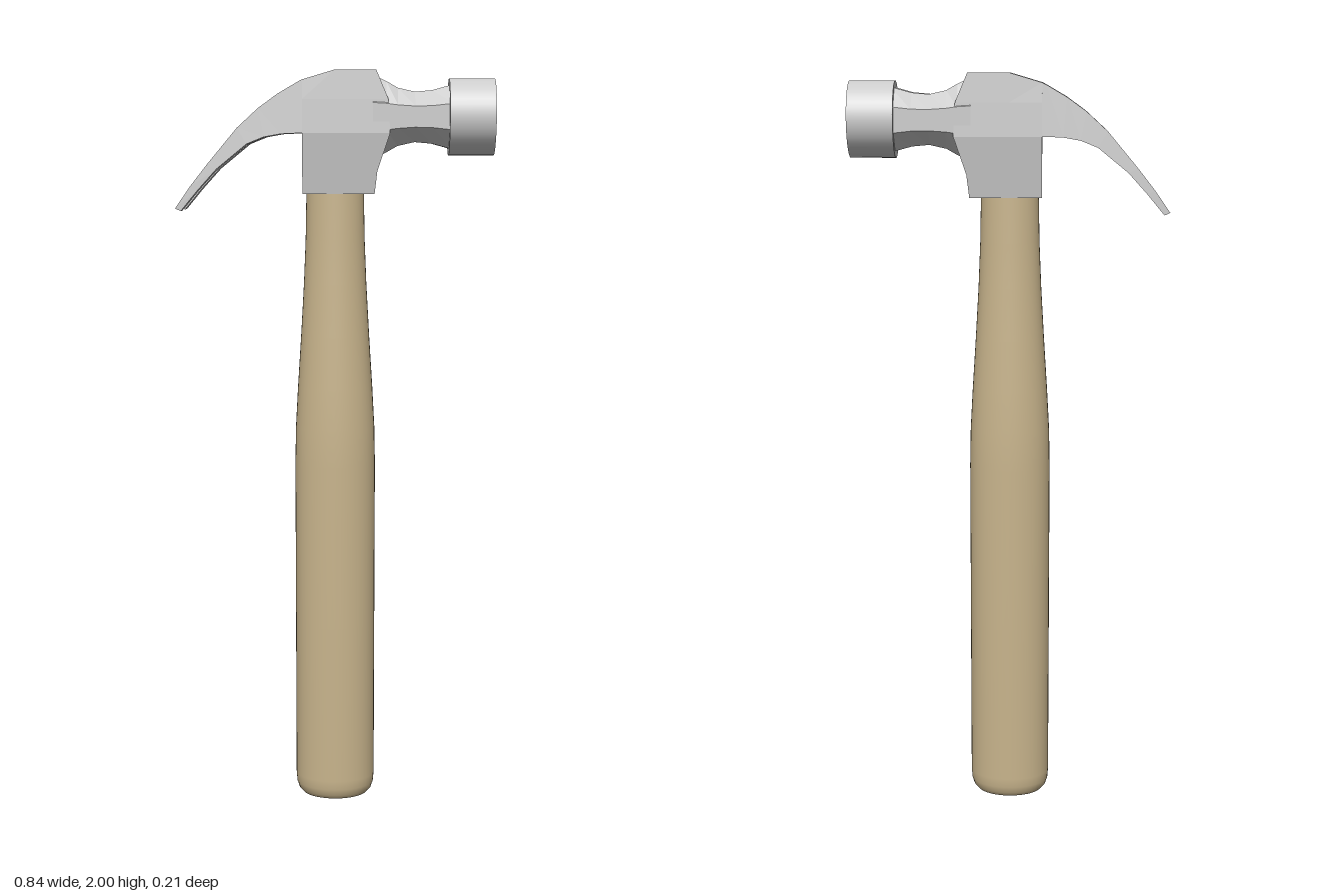
import * as THREE from 'three';

const metal = new THREE.MeshStandardMaterial({ color: 0xcccccc, flatShading: true });
const smoothMetal = new THREE.MeshStandardMaterial({ color: 0xcccccc });
const wood = new THREE.MeshStandardMaterial({ color: 0xc8b48c });

// Closed skin through equal-length rings, counterclockwise seen from the end
function loft(rings) {
  const pos = [];
  const tri = (...pts) => pts.forEach((p) => pos.push(...p));
  const n = rings[0].length;
  const centre = (ring) => [0, 1, 2].map((k) => ring.reduce((s, p) => s + p[k], 0) / n);
  const first = rings[0], last = rings[rings.length - 1];
  const c0 = centre(first), c1 = centre(last);
  for (let j = 0; j < n; j++) {
    const k = (j + 1) % n;
    for (let i = 0; i < rings.length - 1; i++) {
      const a = rings[i], b = rings[i + 1];
      tri(a[j], a[k], b[k]);
      tri(a[j], b[k], b[j]);
    }
    tri(c0, first[k], first[j]);
    tri(c1, last[j], last[k]);
  }
  const geo = new THREE.BufferGeometry();
  geo.setAttribute('position', new THREE.Float32BufferAttribute(pos, 3));
  geo.computeVertexNormals();
  return geo;
}

function add(group, name, geo, material) {
  const mesh = new THREE.Mesh(geo, material);
  mesh.name = name;
  group.add(mesh);
  return mesh;
}

// Oval wooden handle with a rounded butt and a slimmer neck
function handleGeometry() {
  const profile = [
    [0, 0], [0.075, 0], [0.09, 0.005], [0.101, 0.017], [0.107, 0.035], [0.109, 0.06],
    [0.109, 0.5], [0.109, 0.95], [0.107, 1.05], [0.101, 1.16], [0.092, 1.3],
    [0.084, 1.44], [0.079, 1.56], [0.076, 1.72],
  ].map(([r, y]) => new THREE.Vector2(r, y));
  return new THREE.LatheGeometry(profile, 40).scale(1, 1, 0.79);
}

// Socket block: levels of [y, right x, half depth], then the arched top
function socketGeometry() {
  const ring = (yLeft, yMid, yRight, xRight, z) => {
    const side = [[-0.085, yLeft], [0, yMid], [xRight, yRight]];
    const front = side.map(([x, y]) => [x, y, z]);
    const back = side.map(([x, y]) => [x, y, -z]).reverse();
    return [...front, ...back];
  };
  const levels = [[1.68, 0.105, 0.062], [1.74, 0.112, 0.071], [1.838, 0.145, 0.086], [1.925, 0.14, 0.083]];
  return loft([
    ...levels.map(([y, x, z]) => ring(y, y, y, x, z)),
    ring(1.975, 2, 2, 0.108, 0.079),
  ]);
}

// One curved tine of the claw; side is +1 or -1 in z
function tineGeometry(side) {
  // top x, top y, underside x, underside y, nail-notch half width
  const stations = [
    [-0.42, 1.643, -0.405, 1.636, 0],
    [-0.38, 1.7, -0.36, 1.69, 0],
    [-0.335, 1.757, -0.31, 1.745, 0],
    [-0.255, 1.852, -0.23, 1.81, 0],
    [-0.2, 1.902, -0.185, 1.828, 0],
    [-0.15, 1.938, -0.14, 1.836, 0],
    [-0.15, 1.938, -0.14, 1.836, 0.016],
    [-0.095, 1.97, -0.095, 1.838, 0.016],
    [-0.085, 1.975, -0.085, 1.838, 0.016],
  ];
  const gap = (x) => 0.033 * THREE.MathUtils.clamp((-0.095 - x) / 0.325, 0, 1);
  const lower = (x) => THREE.MathUtils.mapLinear(x, -0.42, -0.085, 0.078, 0.086);
  return loft(stations.map(([xt, t, xb, b, notch]) => {
    const inner = gap(xt);
    const ring = [
      [xb, b, gap(xb)],
      [xt, notch ? t - 0.025 : t, inner],
      [xt, t, Math.max(inner, notch)],
      [xt, t, 0.078],
      [xb, b, lower(xb)],
    ];
    return side > 0 ? ring : ring.map(([x, y, z]) => [x, y, -z]).reverse();
  }));
}

// Waisted eight-sided neck between socket and striking face
function neckGeometry() {
  const stations = [[0.1, 0.108, 0.036], [0.135, 0.092, 0.034], [0.165, 0.075, 0.03],
    [0.21, 0.065, 0.027], [0.255, 0.069, 0.028], [0.31, 0.084, 0.034]];
  return loft(stations.map(([x, h, flat]) => {
    const half = [[h, -0.034], [h, 0.034], [flat, 0.085], [-flat, 0.085]];
    return [...half, ...half.map(([y, z]) => [-y, -z])].map(([y, z]) => [x, 1.88 + y, z]);
  }));
}

export function createModel() {
  const model = new THREE.Group();
  model.name = 'clawHammer';
  add(model, 'handle', handleGeometry(), wood);

  const head = new THREE.Group();
  head.name = 'head';
  model.add(head);
  add(head, 'socket', socketGeometry(), metal);
  add(head, 'frontTine', tineGeometry(1), metal);
  add(head, 'backTine', tineGeometry(-1), metal);
  add(head, 'neck', neckGeometry(), metal);

  // Round striking face
  const face = add(head, 'strikingFace', new THREE.CylinderGeometry(0.1, 0.1, 0.12, 40), smoothMetal);
  face.rotation.z = -Math.PI / 2;
  face.scale.z = 1.03;
  face.position.set(0.36, 1.88, 0);
  return model;
}
